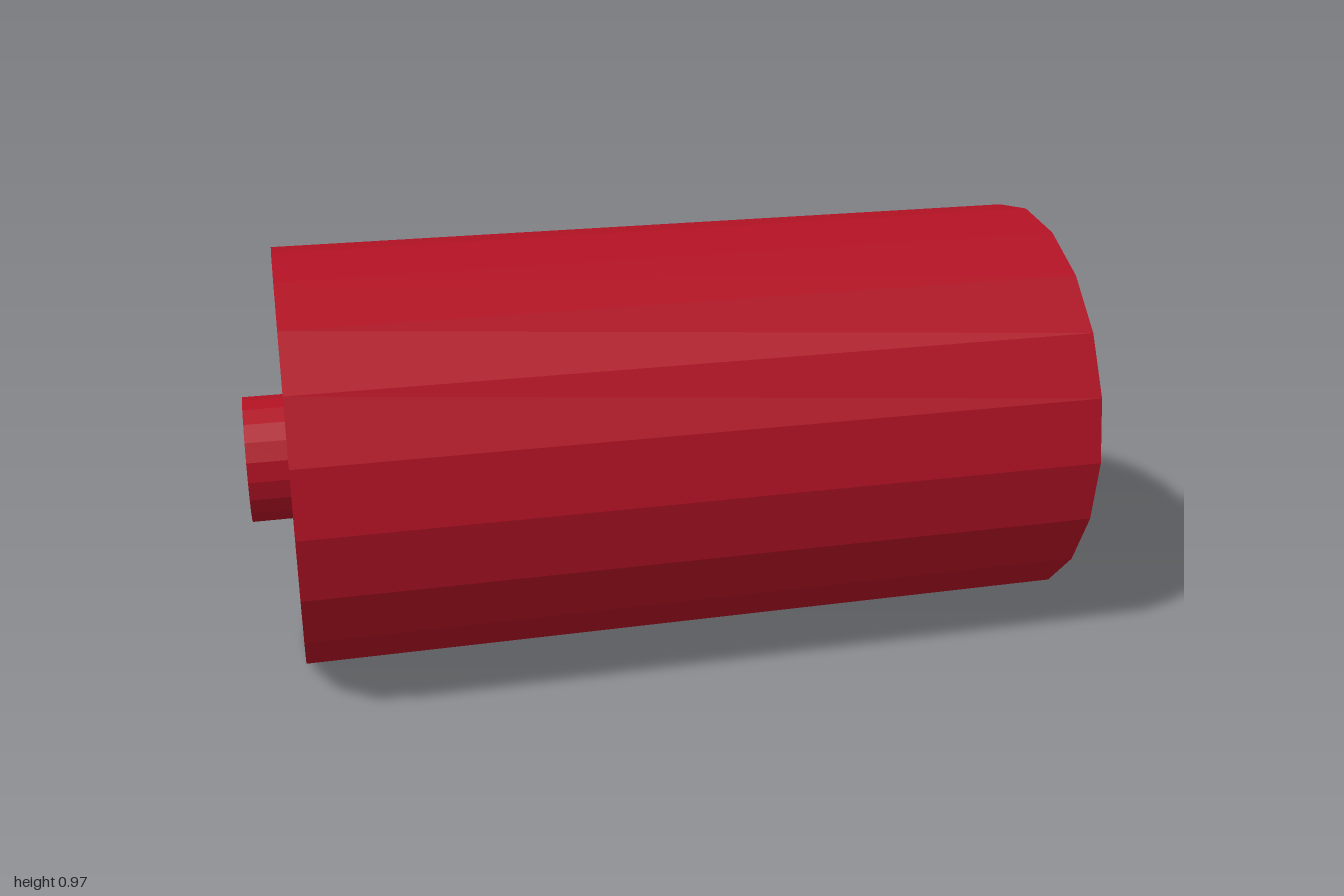
import * as THREE from 'three';

const SIDES = 20;
const RADIUS = 0.485;

export function createModel() {
  const group = new THREE.Group();
  group.name = 'roller';
  const red = new THREE.MeshStandardMaterial({ color: 0xb31224, flatShading: true });

  // Cylinder lying along x, centred at height RADIUS
  function addCylinder(name, radius, length, x) {
    const geometry = new THREE.CylinderGeometry(radius, radius, length, SIDES);
    geometry.rotateZ(-Math.PI / 2);
    const mesh = new THREE.Mesh(geometry, red);
    mesh.name = name;
    mesh.position.set(x, RADIUS, 0);
    group.add(mesh);
  }

  // Main drum
  const drumHalf = 0.907;
  addCylinder('drum', RADIUS, drumHalf * 2, 0);

  // Axle stubs at both ends
  const stub = 1 - drumHalf;
  for (const side of [1, -1]) {
    addCylinder(side > 0 ? 'leftAxle' : 'rightAxle', 0.145, stub, side * (drumHalf + stub / 2));
  }
  return group;
}
